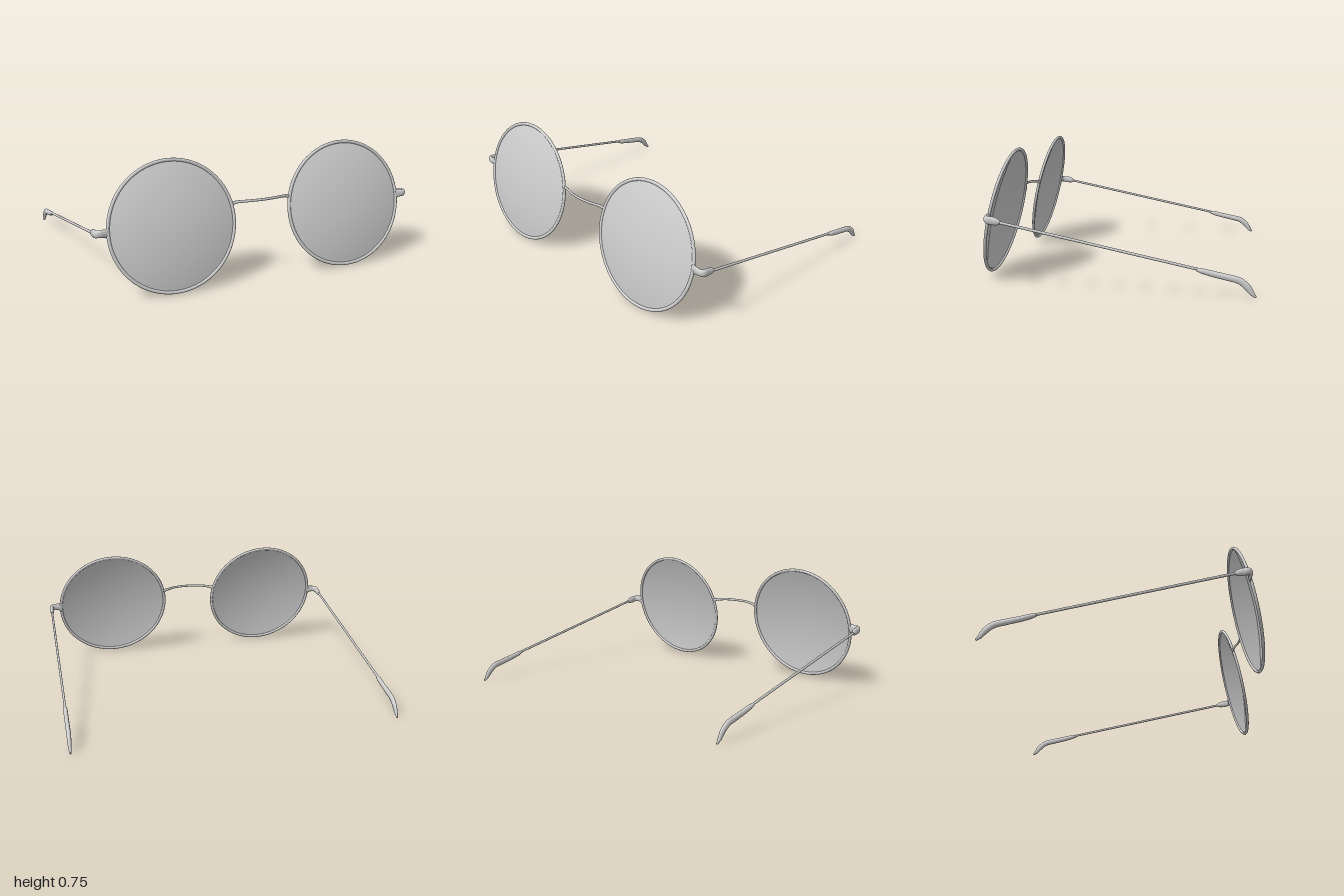
import * as THREE from 'three';

const metal = new THREE.MeshStandardMaterial({ color: 0xcccccc });
const glass = new THREE.MeshStandardMaterial({ color: 0xcccccc, side: THREE.DoubleSide });

// Sweeps an ellipse along stations [x, y, z, half width, half height].
function sweep(stations, sx = 1, rings = 48, sides = 16) {
  const path = new THREE.CatmullRomCurve3(stations.map(([x, y, z]) => new THREE.Vector3(x * sx, y, z)));
  const up = new THREE.Vector3(0, 1, 0);
  const pos = [], index = [];
  for (let i = 0; i <= rings; i++) {
    const t = i / rings;
    const f = t * (stations.length - 1);
    const k = Math.min(Math.floor(f), stations.length - 2);
    const w = THREE.MathUtils.lerp(stations[k][3], stations[k + 1][3], f - k);
    const h = THREE.MathUtils.lerp(stations[k][4], stations[k + 1][4], f - k);
    const p = path.getPoint(t);
    const tangent = path.getTangent(t);
    const side = new THREE.Vector3().crossVectors(up, tangent).normalize();
    const high = new THREE.Vector3().crossVectors(tangent, side);
    for (let j = 0; j < sides; j++) {
      const a = (j / sides) * Math.PI * 2;
      const v = p.clone().addScaledVector(side, w * Math.cos(a)).addScaledVector(high, h * Math.sin(a));
      pos.push(v.x, v.y, v.z);
      if (i < rings) {
        const a0 = i * sides + j, b0 = i * sides + ((j + 1) % sides);
        index.push(a0, b0, a0 + sides, b0, b0 + sides, a0 + sides);
      }
    }
  }
  // end caps
  const last = rings * sides;
  for (let j = 1; j < sides - 1; j++) {
    index.push(0, j + 1, j, last, last + j, last + j + 1);
  }
  const geo = new THREE.BufferGeometry();
  geo.setAttribute('position', new THREE.Float32BufferAttribute(pos, 3));
  geo.setIndex(index);
  geo.computeVertexNormals();
  return geo;
}

function add(parent, name, geometry, material = metal) {
  const mesh = new THREE.Mesh(geometry, material);
  mesh.name = name;
  parent.add(mesh);
  return mesh;
}

// Shallow domed lens facing +z
function lensGeometry(radius, bulge) {
  const profile = [];
  for (let i = 0; i <= 16; i++) {
    const r = radius * (1 - i / 16);
    profile.push(new THREE.Vector2(r, bulge * (1 - (r / radius) ** 2)));
  }
  return new THREE.LatheGeometry(profile, 80).rotateX(Math.PI / 2);
}

export function createModel() {
  const model = new THREE.Group();
  model.name = 'roundGlasses';

  for (const [label, s] of [['left', 1], ['right', -1]]) {
    // Tilted rim and lens
    const eye = new THREE.Group();
    eye.name = label + 'Eyepiece';
    eye.position.set(0.547 * s, 0.38, 0.7);
    eye.rotation.x = -0.21;
    add(eye, label + 'Rim', new THREE.TorusGeometry(0.37, 0.01, 14, 96).scale(1, 1, 0.9));
    add(eye, label + 'Lens', lensGeometry(0.368, 0.045), glass);
    model.add(eye);

    // Hinge, flaring out of the rim and turning back to the arm
    add(model, label + 'Hinge', sweep([
      [0.915, 0.39, 0.697, 0.008, 0.034],
      [0.935, 0.392, 0.698, 0.01, 0.024],
      [0.965, 0.392, 0.698, 0.012, 0.021],
      [0.982, 0.39, 0.686, 0.013, 0.022],
      [0.984, 0.386, 0.66, 0.012, 0.024],
      [0.984, 0.38, 0.63, 0.012, 0.02],
      [0.984, 0.376, 0.612, 0.008, 0.011],
    ], s));

    // Straight arm
    add(model, label + 'Arm', sweep([
      [0.985, 0.38, 0.63, 0.007, 0.008],
      [0.985, 0.145, -0.49, 0.007, 0.008],
    ], s, 4));

    // Curved ear tip
    add(model, label + 'EarTip', sweep([
      [0.985, 0.148, -0.462, 0.009, 0.009],
      [0.985, 0.141, -0.49, 0.013, 0.015],
      [0.985, 0.126, -0.55, 0.013, 0.017],
      [0.985, 0.111, -0.62, 0.013, 0.018],
      [0.985, 0.093, -0.69, 0.013, 0.019],
      [0.985, 0.062, -0.73, 0.012, 0.019],
      [0.985, 0.025, -0.758, 0.009, 0.013],
      [0.985, 0.006, -0.778, 0.004, 0.005],
    ], s, 56));
  }

  // Bowed bridge
  add(model, 'bridge', sweep([
    [-0.186, 0.46, 0.679, 0.007, 0.013],
    [-0.155, 0.468, 0.687, 0.006, 0.009],
    [-0.085, 0.474, 0.711, 0.006, 0.008],
    [0, 0.475, 0.72, 0.006, 0.008],
    [0.085, 0.474, 0.711, 0.006, 0.008],
    [0.155, 0.468, 0.687, 0.006, 0.009],
    [0.186, 0.46, 0.679, 0.007, 0.013],
  ]));

  return model;
}
